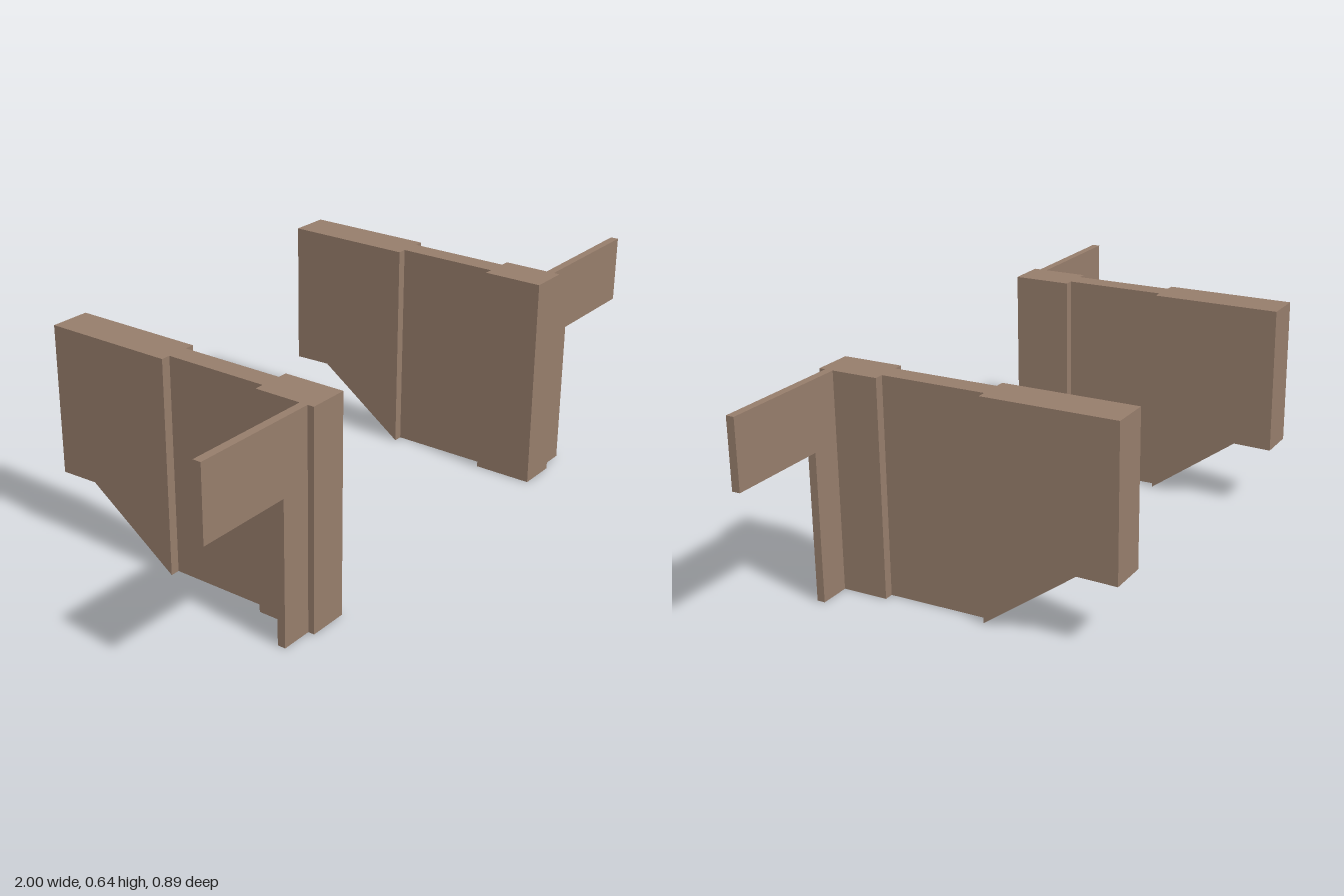
import * as THREE from 'three';

const H = 0.644; // overall height

// Extrude an outline and centre it on its depth
function slab(points, depth) {
  const shape = new THREE.Shape(points.map(([a, b]) => new THREE.Vector2(a, b)));
  const geo = new THREE.ExtrudeGeometry(shape, { depth, bevelEnabled: false });
  return geo.translate(0, 0, -depth / 2);
}

export function createModel() {
  const model = new THREE.Group();
  const stone = new THREE.MeshStandardMaterial({ color: 0x967d6b });
  stone.name = 'brownStone';

  // side: direction the arm points; x: wall centre; armBottom: underside of the arm
  function buildWall(name, side, x, armBottom) {
    const wall = new THREE.Group();
    wall.name = name;
    const add = (partName, geo) => {
      const mesh = new THREE.Mesh(geo, stone);
      mesh.name = partName;
      wall.add(mesh);
    };

    // Wall sections with outlines in (z, y), thickness along x
    const section = (partName, outline, thickness) =>
      add(partName, slab(outline, thickness).rotateY(-Math.PI / 2).translate(x, 0, 0));
    section('frontPier', [[0.265, 0], [0.446, 0], [0.446, H], [0.265, H]], 0.12);
    section('recessedPanel', [[-0.048, 0], [0.265, 0], [0.265, H], [-0.048, H]], 0.064);
    section('rearBlock',
      [[-0.048, 0], [-0.048, H], [-0.446, H], [-0.446, 0.197], [-0.327, 0.2]], 0.12);

    // L-shaped plate: full-height strip with an arm at the top
    const inner = x + side * 0.06;
    const strip = inner + side * 0.096;
    const tip = side;
    add('sidePlate', slab([
      [inner, 0], [strip, 0], [strip, armBottom], [tip, armBottom], [tip, H], [inner, H],
    ], 0.024).translate(0, 0, 0.415));
    model.add(wall);
  }

  buildWall('leftWall', 1, 0.53, 0.442);
  buildWall('rightWall', -1, -0.55, 0.428);
  return model;
}
